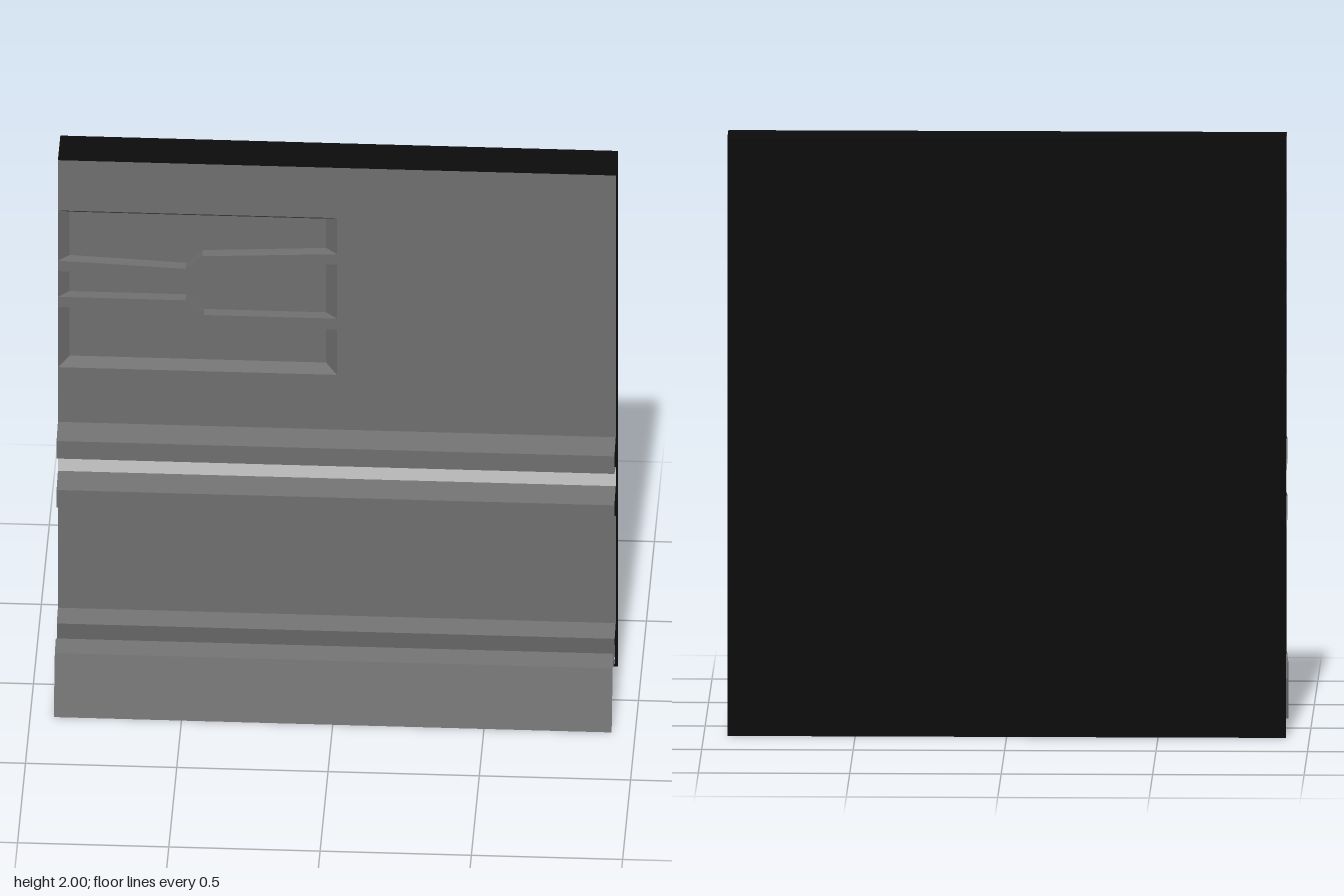
import * as THREE from 'three';

const W = 0.922;        // half width
const FRONT = -0.055;   // wall face
const FLOOR = -0.09;    // recess floor
const material = (color) =>
  new THREE.MeshStandardMaterial({ color, side: THREE.DoubleSide, flatShading: true });

// Flat-faced band joining two equally long lists of 3D points
function band(a, b, closed = false) {
  const pos = [];
  const n = a.length;
  for (let i = 0; i < (closed ? n : n - 1); i++) {
    const j = (i + 1) % n;
    for (const p of [a[i], a[j], b[j], a[i], b[j], b[i]]) pos.push(...p);
  }
  const g = new THREE.BufferGeometry();
  g.setAttribute('position', new THREE.Float32BufferAttribute(pos, 3));
  g.computeVertexNormals();
  return g;
}

// Open [z, y] profile swept across the full width
const sweep = (profile) =>
  band(profile.map(([z, y]) => [-W, y, z]), profile.map(([z, y]) => [W, y, z]));

// Flat polygon facing +z
function plate(points, z) {
  const shape = new THREE.Shape(points.map(([x, y]) => new THREE.Vector2(x, y)));
  return new THREE.ShapeGeometry(shape).translate(0, 0, z);
}

export function createModel() {
  const model = new THREE.Group();
  const grey = material(0x707070);
  const light = material(0xcccccc);
  const black = material(0x0c0c0c);
  const add = (name, geometry, mat, parent = model) => {
    const mesh = new THREE.Mesh(geometry, mat);
    mesh.name = name;
    parent.add(mesh);
  };

  // Recesses: upper and lower edges from left to right, with the inset of each edge
  const recesses = [
    { name: 'upperRecess', top: [[-W, 1.805], [0, 1.805]], topInset: 0.025,
      bottom: [[-W, 1.61], [-0.5, 1.592], [-0.445, 1.643], [0, 1.665]], bottomInset: 0.002 },
    { name: 'middleRecess', top: [[-W, 1.57], [-0.5, 1.56], [-0.44, 1.613], [0, 1.625]], topInset: 0.006,
      bottom: [[-W, 1.47], [-0.5, 1.47], [-0.44, 1.415], [0, 1.415]], bottomInset: 0.002 },
    { name: 'lowerRecess', top: [[-W, 1.43], [-0.5, 1.44], [-0.445, 1.386], [0, 1.372]], topInset: 0.002,
      bottom: [[-W, 1.197], [0, 1.197]], bottomInset: 0.025 },
  ];

  // Upper wall, its outline stepping around every recess
  const outline = [[-W, 0.985], [W, 0.985], [W, 2], [-W, 2]];
  for (const r of recesses) {
    const insetX = (x) => (x === -W ? x + 0.037 : x === 0 ? -0.037 : x);
    const bottom = [...r.bottom].reverse();
    const outer = [...r.top, ...bottom];
    const inner = [
      ...r.top.map(([x, y]) => [insetX(x), y - r.topInset]),
      ...bottom.map(([x, y]) => [insetX(x), y + r.bottomInset]),
    ];
    outline.push(...outer);

    const group = new THREE.Group();
    group.name = r.name;
    add('recessWalls',
      band(inner.map((p) => [...p, FLOOR]), outer.map((p) => [...p, FRONT]), true), grey, group);
    add('recessFloor', plate(inner, FLOOR), grey, group);
    model.add(group);
  }
  add('upperWall', plate(outline, FRONT), grey);

  // Two projecting rails with a light stripe between them
  for (const [name, y] of [['upperRail', 0.985], ['lowerRail', 0.795]]) {
    add(name, sweep([[FRONT, y], [0.03, y - 0.022], [0.03, y - 0.09], [FRONT, y - 0.115]]), grey);
  }
  add('lightStripe', sweep([[FRONT, 0.87], [FRONT, 0.795]]), light);

  // Lower wall ending in a small lip, a light trough and the flared skirt
  add('lowerWall', sweep([[FRONT, 0.68], [FRONT, 0.264]]), grey);
  add('lip', sweep([[FRONT, 0.264], [0.015, 0.246], [0, 0.165]]), grey);
  add('trough', sweep([[0, 0.165], [0.055, 0.165]]), light);
  add('skirt', sweep([[0.055, 0.165], [0.075, 0.225], [0.14, 0.208], [0.205, 0]]), grey);

  // Black back and top
  add('backAndTop', sweep([[-0.21, 0], [-0.21, 2], [FRONT, 2]]), black);

  return model;
}
